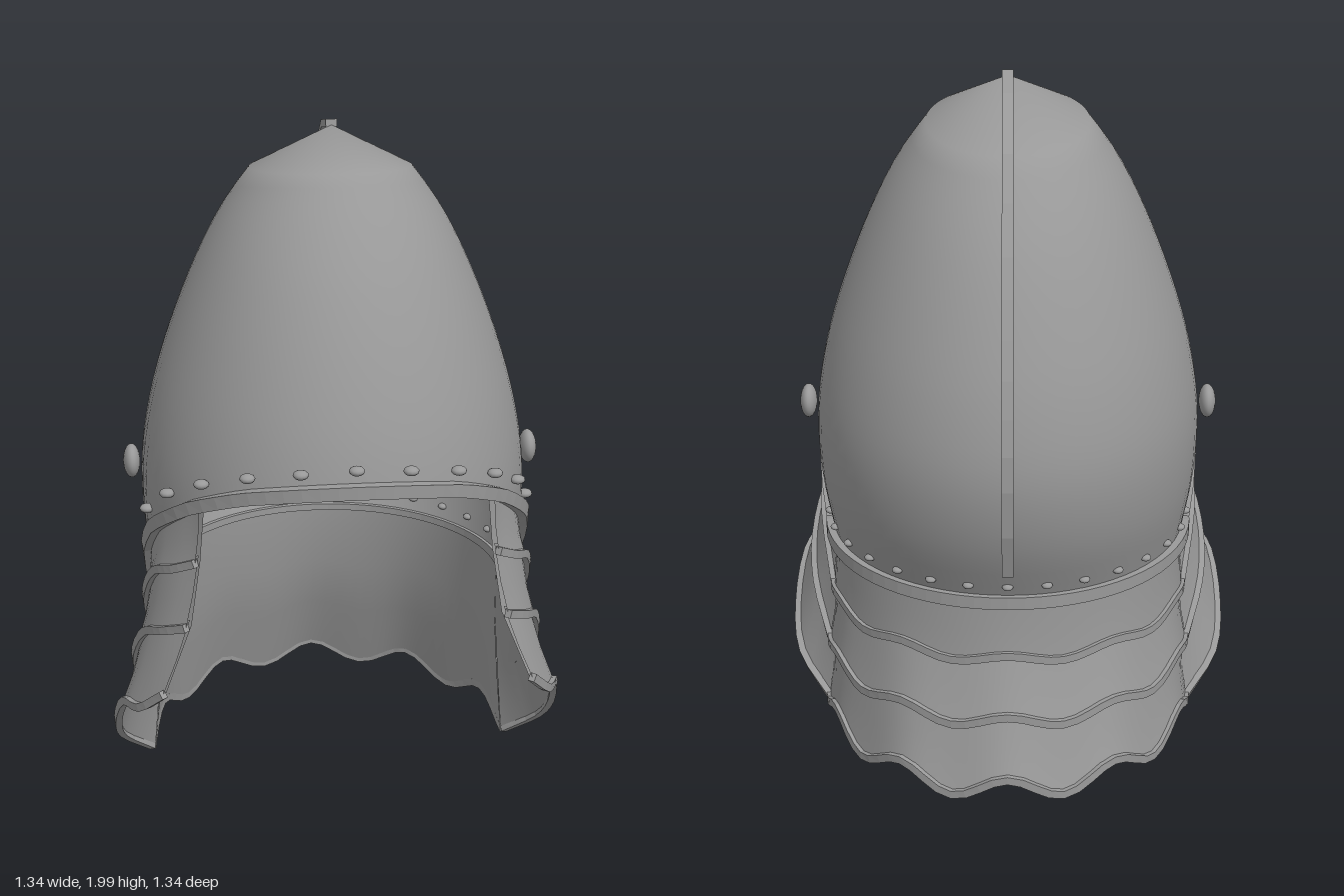
import * as THREE from 'three';
import { mergeVertices } from 'three/addons/utils/BufferGeometryUtils.js';

const V = (x, y, z) => new THREE.Vector3(x, y, z);
const steel = new THREE.MeshStandardMaterial({ color: 0x999999, side: THREE.DoubleSide });
steel.name = 'steel grey';

// Skull profile: height, half width, front depth, back depth
const PROFILE = [
  [0.6, 0.522, 0.63, 0.53], [0.8, 0.555, 0.655, 0.62], [1.0, 0.56, 0.655, 0.655],
  [1.2, 0.528, 0.615, 0.625], [1.4, 0.468, 0.54, 0.555], [1.6, 0.388, 0.437, 0.46],
  [1.75, 0.31, 0.335, 0.36], [1.9, 0.202, 0.212, 0.235],
];
// Height of the lower edge against cos(angle), 1 = front
const EDGE = [[-1, 0.6], [0, 0.6], [0.16, 0.76], [0.35, 0.88], [0.65, 1.01], [0.85, 1.08], [1, 1.12]];

// Cubic interpolation of one profile column
function radius(y, c) {
  const n = PROFILE.length;
  let i = 0;
  while (i < n - 2 && y > PROFILE[i + 1][0]) i++;
  const slope = (k) => {
    const a = PROFILE[Math.max(k - 1, 0)], b = PROFILE[Math.min(k + 1, n - 1)];
    return (b[c] - a[c]) / (b[0] - a[0]);
  };
  const [p, q] = [PROFILE[i], PROFILE[i + 1]];
  const h = q[0] - p[0], t = (y - p[0]) / h, t2 = t * t, t3 = t2 * t;
  return (2 * t3 - 3 * t2 + 1) * p[c] + (t3 - 2 * t2 + t) * h * slope(i)
    + (3 * t2 - 2 * t3) * q[c] + (t3 - t2) * h * slope(i + 1);
}

function edgeHeight(a) {
  const c = Math.cos(a);
  let i = 0;
  while (i < EDGE.length - 2 && c > EDGE[i + 1][0]) i++;
  const [p, q] = [EDGE[i], EDGE[i + 1]];
  return p[1] + (q[1] - p[1]) * (c - p[0]) / (q[0] - p[0]);
}

function skullPoint(a, y, grow = 0) {
  const c = Math.cos(a);
  return V((radius(y, 1) + grow) * Math.sin(a), y, (radius(y, c > 0 ? 2 : 3) + grow) * c);
}

// Surface through rows of points
function grid(rows, closed = false, flat = false) {
  const n = rows[0].length, cols = closed ? n : n - 1, index = [];
  for (let r = 0; r < rows.length - 1; r++) {
    for (let c = 0; c < cols; c++) {
      const a = r * n + c, b = r * n + (c + 1) % n;
      index.push(a, b, b + n, a, b + n, a + n);
    }
  }
  const g = new THREE.BufferGeometry().setFromPoints(rows.flat());
  g.setIndex(index);
  const result = flat ? g.toNonIndexed() : mergeVertices(g);
  result.computeVertexNormals();
  return result;
}

// Rectangular bar swept along a path; out(p, tangent) gives its outer side
function bar(path, thick, high, out, closed = false) {
  const n = path.length;
  const rows = path.map((p, i) => {
    const prev = closed ? path[(i + n - 1) % n] : path[Math.max(i - 1, 0)];
    const next = closed ? path[(i + 1) % n] : path[Math.min(i + 1, n - 1)];
    const t = next.clone().sub(prev).normalize();
    const b = out(p, t).cross(t).normalize();
    const o = t.clone().cross(b).normalize();
    return [[1, 1], [1, -1], [-1, -1], [-1, 1]].map(([u, v]) =>
      p.clone().addScaledVector(o, u * thick / 2).addScaledVector(b, v * high / 2));
  });
  if (closed) rows.push(rows[0]);
  else {
    // end caps collapse onto the path ends
    rows.unshift(rows[0].map(() => path[0].clone()));
    rows.push(rows[0].map(() => path[n - 1].clone()));
  }
  return grid(rows, true, true);
}
const radial = (p) => V(p.x, 0, p.z).normalize();

export function createModel() {
  const model = new THREE.Group();
  model.name = 'helmet';
  const add = (name, geometry) => {
    const mesh = new THREE.Mesh(geometry, steel);
    mesh.name = name;
    model.add(mesh);
    return mesh;
  };

  // Pointed skull, its crown ring tilted up at the front
  const N = 72, LEVELS = 24;
  const angles = Array.from({ length: N }, (_, i) => i / N * Math.PI * 2);
  const rows = [];
  for (let r = 0; r <= LEVELS; r++) {
    rows.push(angles.map((a) => {
      const y0 = edgeHeight(a), y1 = 1.86 + 0.03 * Math.cos(a);
      return skullPoint(a, y0 + (y1 - y0) * r / LEVELS);
    }));
  }
  rows.push(angles.map(() => V(0, 1.98, 0)));
  add('skull', grid(rows, true));

  // Band around the lower edge
  add('rimBand', bar(angles.map((a) => skullPoint(a, edgeHeight(a), 0.01)), 0.032, 0.038, radial, true));

  // Ridge strip down the back
  const ridge = [[0, 1.985], [-0.13, 1.955], [-0.2, 1.905], [-0.3, 1.835], [-0.385, 1.725], [-0.465, 1.6],
    [-0.52, 1.5], [-0.565, 1.4], [-0.605, 1.3], [-0.635, 1.2], [-0.655, 1.1], [-0.662, 1.0], [-0.65, 0.86],
    [-0.61, 0.72]].map(([z, y]) => V(0, y, z));
  add('backRidge', bar(ridge, 0.022, 0.032, (p, t) => V(1, 0, 0).cross(t)));

  // Rivets on brow and nape, and the large side studs
  const rivet = (name, p, r) => {
    const m = add(name, new THREE.SphereGeometry(r, 12, 8));
    m.position.copy(p);
    m.scale.y = 0.6;
  };
  const brow = [[0, 1.18, 0.645], [0.15, 1.168, 0.628], [0.29, 1.14, 0.567], [0.41, 1.087, 0.46],
    [0.5, 1.012, 0.325], [0.553, 0.905, 0.165]];
  for (const s of [1, -1]) {
    for (const [x, y, z] of brow) if (x || s > 0) rivet('browRivet', V(s * x, y, z), 0.022);
    const stud = add('sideStud', new THREE.SphereGeometry(0.05, 20, 14));
    stud.position.set(s * 0.59, 0.99, -0.005);
    stud.scale.x = 0.5;
  }
  for (let k = -7; k <= 7; k++) {
    rivet('napeRivet', skullPoint(Math.PI + k * 12 * Math.PI / 180, 0.655, 0.002), 0.016);
  }

  // Overlapping lames, each hanging from just inside the lip above it, over a smooth lining
  const shrink = (p, k) => V(p.x * k, p.y, p.z * k);
  const lames = (name, edges) => {
    for (let i = 0; i < edges.length - 1; i++) {
      const top = edges[i].map((p) => (i ? V(p.x * 0.975, p.y + 0.02, p.z * 0.975) : p));
      const low = edges[i + 1];
      const mid = top.map((p, k) => shrink(p.clone().lerp(low[k], 0.55), 0.992));
      add(name + 'Lame', grid([top, mid, low]));
      add(name + 'Lip', bar(low, 0.02, 0.024, radial));
    }
    add(name + 'Lining', grid(edges.map((e, i) => e.map((p) => shrink(p, i < 3 ? 0.965 : 0.985)))));
  };

  // Neck guard with scalloped edges: height, half width, depth, wave, start angle
  const neck = [[0.605, 0.522, 0.53, 0, 0], [0.415, 0.53, 0.54, 0.012, 3.7], [0.24, 0.545, 0.595, 0.018, 4.8],
    [0.052, 0.553, 0.65, 0.032, 5.3]];
  lames('neck', neck.map(([y, rx, rz, wave, start]) => Array.from({ length: 41 }, (_, i) => {
    const u = i / 40, a = (start + (180 - 2 * start) * u) * Math.PI / 180;
    return V(rx * Math.cos(a), y - wave * Math.cos(u * 10 * Math.PI), -rz * Math.sin(a));
  })));

  // Cheek guards, each edge listed from back to front
  const cheek = [
    [[0.522, 0.605, 0], [0.543, 0.71, 0.08], [0.537, 0.81, 0.16], [0.51, 0.9, 0.25], [0.47, 0.96, 0.34], [0.415, 1.01, 0.43]],
    [[0.53, 0.405, -0.035], [0.56, 0.57, 0.09], [0.56, 0.67, 0.19], [0.535, 0.765, 0.29], [0.49, 0.8, 0.37], [0.43, 0.84, 0.435]],
    [[0.545, 0.222, -0.05], [0.592, 0.35, 0.07], [0.598, 0.46, 0.17], [0.568, 0.57, 0.28], [0.525, 0.61, 0.37], [0.46, 0.65, 0.45]],
    [[0.551, 0.021, -0.06], [0.64, 0.12, 0.04], [0.657, 0.225, 0.15], [0.635, 0.35, 0.28], [0.595, 0.38, 0.39], [0.53, 0.46, 0.48]],
  ];
  for (const s of [1, -1]) {
    lames(s > 0 ? 'leftCheek' : 'rightCheek', cheek.map((edge) =>
      new THREE.CatmullRomCurve3(edge.map(([x, y, z]) => V(s * x, y, z))).getPoints(15)));
  }
  return model;
}
